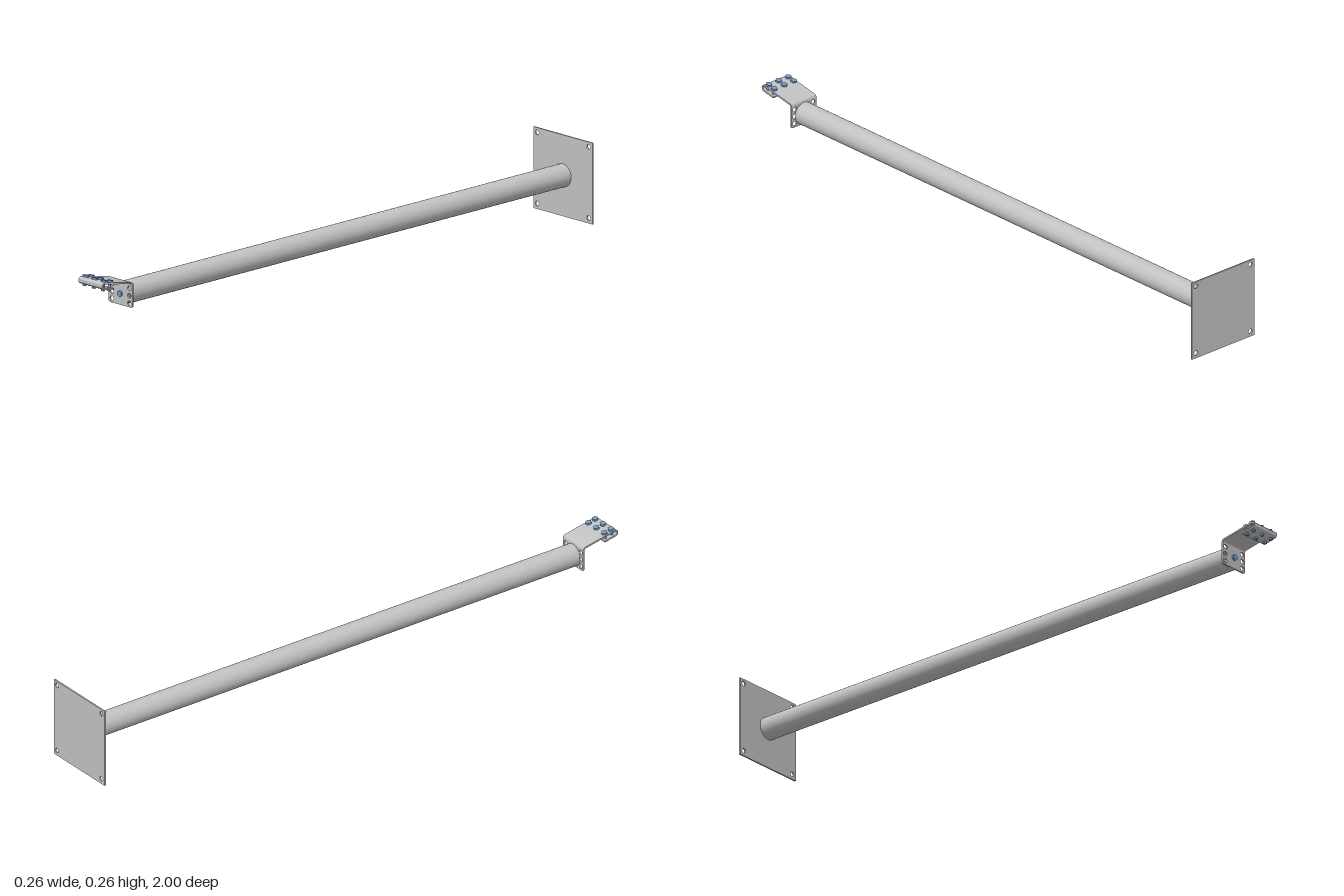
import * as THREE from 'three';
import { toCreasedNormals } from 'three/addons/utils/BufferGeometryUtils.js';

const steel = new THREE.MeshStandardMaterial({ color: 0xc2c2c2 });
steel.name = 'galvanised steel';
const blue = new THREE.MeshStandardMaterial({ color: 0x7a9cd2 });
blue.name = 'blue fastener';

const MID_Y = 0.129;
const T = 0.005; // sheet thickness

function add(parent, name, geometry, material) {
  const mesh = new THREE.Mesh(geometry, material);
  mesh.name = name;
  parent.add(mesh);
  return mesh;
}

function punch(shape, x, y, r) {
  const hole = new THREE.Path();
  hole.absarc(x, y, r, 0, Math.PI * 2, true);
  shape.holes.push(hole);
}

function extrude(shape, depth) {
  const g = new THREE.ExtrudeGeometry(shape, { depth, bevelEnabled: false, curveSegments: 12 });
  return toCreasedNormals(g, 0.6);
}

export function createModel() {
  const model = new THREE.Group();
  model.name = 'wallArm';

  // Square wall plate with four corner holes
  const h = 0.128;
  const plate = new THREE.Shape();
  plate.moveTo(-h, 0).lineTo(h, 0).lineTo(h, 2 * h).lineTo(-h, 2 * h).closePath();
  for (const x of [-0.112, 0.112]) for (const y of [0.017, 0.241]) punch(plate, x, y, 0.0077);
  add(model, 'wallPlate', extrude(plate, T), steel).position.z = -1;

  // Long round tube
  const length = 0.8675 + 1 - T;
  const tube = add(model, 'tube', new THREE.CylinderGeometry(0.036, 0.036, length, 48), steel);
  tube.rotation.x = Math.PI / 2;
  tube.position.set(0, MID_Y, 0.8675 - length / 2);

  // Upright face of the end bracket, rounded below and drilled
  const bracket = new THREE.Group();
  bracket.name = 'endBracket';
  model.add(bracket);
  const w = 0.0515, low = 0.093, bendY = 0.165, r = 0.007;
  const face = new THREE.Shape();
  face.moveTo(-w, bendY).lineTo(-w, low + r);
  face.absarc(-w + r, low + r, r, Math.PI, Math.PI * 1.5, false);
  face.absarc(w - r, low + r, r, Math.PI * 1.5, Math.PI * 2, false);
  face.lineTo(w, bendY).closePath();
  for (const x of [-0.038, 0.038]) for (const dy of [-0.0235, 0, 0.0235]) punch(face, x, MID_Y + dy, 0.0077);
  add(bracket, 'bracketFace', extrude(face, T), steel).position.z = 0.8675;

  // Sloping flange folded back under itself, as a bent strip in the (z, y) plane
  const slope = THREE.MathUtils.degToRad(11);
  const dir = new THREE.Vector2(Math.cos(slope), Math.sin(slope));
  const up = new THREE.Vector2(-dir.y, dir.x);
  const foldR = 0.0085;
  const line = []; // [point, outward normal]
  const arc = (center, radius, from, to, steps) => {
    for (let i = 0; i <= steps; i++) {
      const a = from + (to - from) * i / steps;
      const n = new THREE.Vector2(Math.cos(a), Math.sin(a));
      line.push([center.clone().addScaledVector(n, radius), n]);
    }
  };
  const upAngle = slope + Math.PI / 2;
  const bend = new THREE.Vector2(0.877, bendY);
  const bendEnd = bend.clone().addScaledVector(up, 0.007);
  const foldTop = bendEnd.clone().addScaledVector(dir, 0.1138);
  const fold = foldTop.clone().addScaledVector(up, -foldR);
  arc(bend, 0.007, Math.PI, upAngle, 8);
  arc(fold, foldR, upAngle, upAngle - Math.PI, 16);
  const down = up.clone().negate();
  line.push([fold.clone().addScaledVector(down, foldR).addScaledVector(dir, -0.042), down]);
  const side = (k) => line.map(([p, n]) => p.clone().addScaledVector(n, k * T / 2));
  const strip = new THREE.Shape([...side(1), ...side(-1).reverse()]);
  const flange = extrude(strip, 2 * w);
  flange.rotateY(-Math.PI / 2);
  flange.translate(w, 0, 0);
  add(bracket, 'foldedFlange', flange, steel);

  // Two rows of three clamp bolts square to the flange
  const headGeo = new THREE.CylinderGeometry(0.01, 0.01, 0.006, 6).toNonIndexed();
  headGeo.computeVertexNormals();
  const nutGeo = new THREE.CylinderGeometry(0.006, 0.006, 0.006, 6).toNonIndexed();
  nutGeo.computeVertexNormals();
  const shankGeo = new THREE.CylinderGeometry(0.0045, 0.0045, 0.022, 16);
  for (const back of [0.006, 0.031]) {
    const p = foldTop.clone().addScaledVector(dir, -back);
    for (const x of [-0.04, 0, 0.04]) {
      const bolt = new THREE.Group();
      bolt.name = 'clampBolt';
      bolt.position.set(x, p.y, p.x);
      bolt.rotation.x = -slope;
      add(bolt, 'boltHead', headGeo, blue).position.y = T / 2 + 0.003;
      add(bolt, 'boltShank', shankGeo, blue).position.y = -0.0095;
      add(bolt, 'boltNut', nutGeo, blue).position.y = -2 * foldR - T / 2 - 0.003;
      bracket.add(bolt);
    }
  }

  // Central hex bolt holding the bracket to the tube
  const centre = add(bracket, 'centreBolt', headGeo, blue);
  centre.rotation.x = Math.PI / 2;
  centre.position.set(0, MID_Y, 0.8725 + 0.003);

  return model;
}
